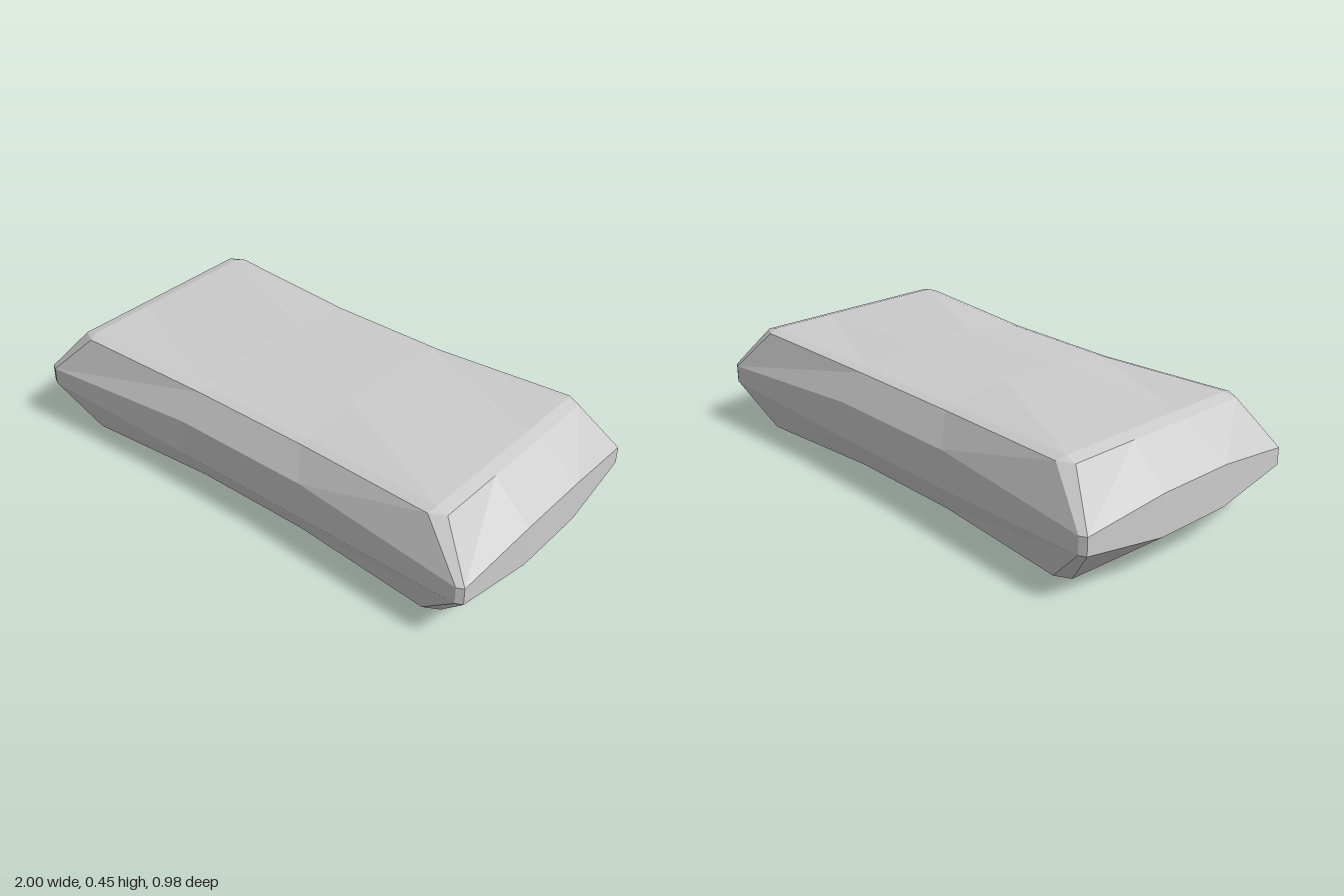
import * as THREE from 'three';

// Quarter outlines: front middle, front end, side end, side middle.
// Each point is x, height from the mid plane, z.
const waist = [[0.28, 0.073, 0.455], [0.955, 0.033, 0.49], [0.98, 0.033, 0.477], [1, 0.078, 0.155]];
const rim = [[0.24, 0.185, 0.395], [0.79, 0.2, 0.425], [0.845, 0.2, 0.395], [0.845, 0.2, 0.13]];
const inner = [[0.24, 0.195, 0.365], [0.8, 0.212, 0.39], [0.8, 0.212, 0.39], [0.8, 0.212, 0.13]];
const crown = [0.24, 0.225, 0.13];
const MID = 0.225;

const place = ([x, h, z], sx, sy, sz) => new THREE.Vector3(x * sx, MID + h * sy, z * sz);

// Mirror a quarter outline into a closed ring, running front, +x, back, -x
function ring(quarter, sy) {
  const back = [...quarter].reverse();
  return [[quarter, 1, 1], [back, 1, -1], [quarter, -1, -1], [back, -1, 1]]
    .flatMap(([pts, sx, sz]) => pts.map((p) => place(p, sx, sy, sz)));
}

export function createModel() {
  const positions = [];
  const tri = (a, b, c) => {
    const area = b.clone().sub(a).cross(c.clone().sub(a)).length();
    if (area > 1e-7) for (const p of [a, b, c]) positions.push(p.x, p.y, p.z);
  };
  const quad = (a, b, c, d) => { tri(a, b, c); tri(a, c, d); };

  // Sides: bands between stacked rings
  const rings = [ring(inner, -1), ring(rim, -1), ring(waist, -1),
    ring(waist, 1), ring(rim, 1), ring(inner, 1)];
  for (let r = 0; r < rings.length - 1; r++) {
    const low = rings[r], high = rings[r + 1];
    for (let i = 0; i < low.length; i++) {
      const j = (i + 1) % low.length;
      quad(low[i], low[j], high[j], high[i]);
    }
  }

  // Top and bottom: three by three panels, slightly domed
  const steps = [[-1, true], [-1, false], [1, false], [1, true]];
  for (const sy of [1, -1]) {
    const at = (i, k) => {
      const [sx, endX] = steps[i], [sz, endZ] = steps[k];
      const p = endX ? (endZ ? inner[1] : inner[3]) : (endZ ? inner[0] : crown);
      return place(p, sx, sy, sz);
    };
    for (let i = 0; i < 3; i++) for (let k = 0; k < 3; k++) {
      const c = [at(i, k), at(i, k + 1), at(i + 1, k + 1), at(i + 1, k)];
      if (sy < 0) c.reverse();
      quad(...c);
    }
  }

  const geometry = new THREE.BufferGeometry();
  geometry.setAttribute('position', new THREE.Float32BufferAttribute(positions, 3));
  geometry.computeVertexNormals();
  const body = new THREE.Mesh(geometry, new THREE.MeshStandardMaterial({ color: 0xcccccc, flatShading: true }));
  body.name = 'cushionBody';

  const group = new THREE.Group();
  group.name = 'cushion';
  group.add(body);
  return group;
}
